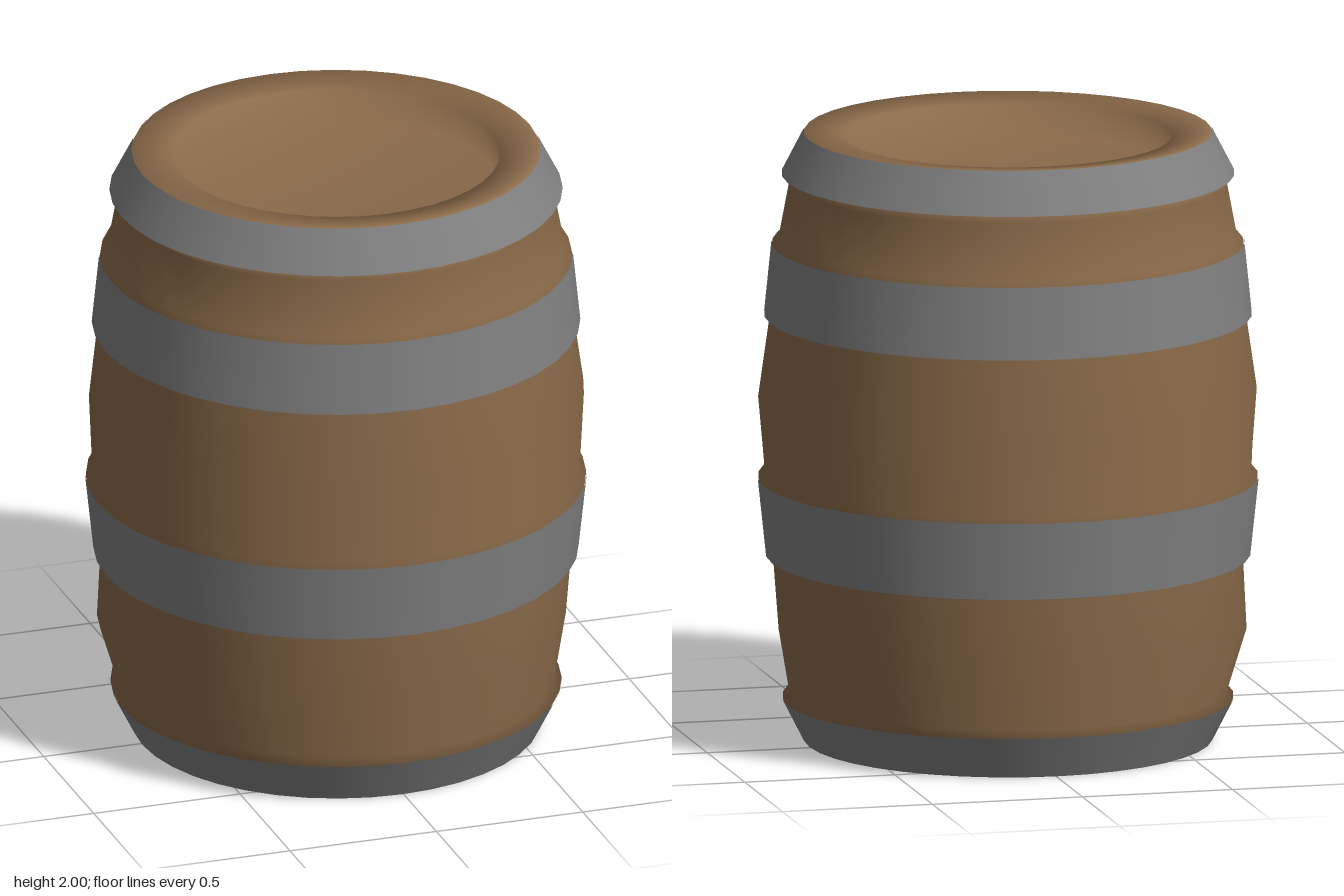
import * as THREE from 'three';

const SEGMENTS = 40;
const lathe = (points) =>
  new THREE.LatheGeometry(points.map(([r, y]) => new THREE.Vector2(r, y)), SEGMENTS);

// Belly radii at eight compass points, from +z round through +x
const BELLIES = [
  { y: 0.37, radii: [0.78, 0.74, 0.745, 0.75, 0.765, 0.775, 0.772, 0.77] },
  { y: 1.14, radii: [0.82, 0.777, 0.815, 0.815, 0.832, 0.777, 0.811, 0.78] },
];

export function createModel() {
  const wood = new THREE.MeshStandardMaterial({ color: 0x8b6b4a });
  wood.name = 'wood';
  const iron = new THREE.MeshStandardMaterial({ color: 0x808080 });
  iron.name = 'iron';

  const barrel = new THREE.Group();
  barrel.name = 'barrel';

  const add = (name, geometry, material) => {
    const mesh = new THREE.Mesh(geometry, material);
    mesh.name = name;
    mesh.position.set(-0.005, 0, 0.01);
    barrel.add(mesh);
  };

  // Wooden body: sunken lids at both ends and a lip flaring out to each hoop edge
  const body = lathe([
    [0, 0.12], [0.53, 0.12], [0.53, 0.015], [0.659, 0],
    [0.73, 0.14], [0.71, 0.165], [0.76, 0.37], [0.762, 0.6],
    [0.782, 0.61], [0.809, 0.865], [0.788, 0.88], [0.8, 1.14], [0.772, 1.385],
    [0.787, 1.4], [0.763, 1.635], [0.742, 1.65], [0.707, 1.835],
    [0.73, 1.862], [0.659, 2], [0.53, 1.985], [0.53, 1.88], [0, 1.88],
  ]);

  // Uneven staves: the two belly rings bulge by different amounts around the barrel
  const p = body.attributes.position;
  for (let i = 0; i < p.count; i++) {
    const belly = BELLIES.find((b) => Math.abs(p.getY(i) - b.y) < 0.005);
    if (!belly) continue;
    const angle = Math.atan2(p.getX(i), p.getZ(i));
    const turn = ((angle / (Math.PI / 4)) + 8) % 8;
    const k = Math.floor(turn);
    const blend = THREE.MathUtils.smoothstep(turn - k, 0, 1);
    const r = THREE.MathUtils.lerp(belly.radii[k], belly.radii[(k + 1) % 8], blend);
    p.setX(i, r * Math.sin(angle));
    p.setZ(i, r * Math.cos(angle));
  }
  add('body', body, wood);

  // Iron hoops: bottom radius and height, top radius and height
  const hoops = {
    bottomHoop: [[0.662, 0], [0.733, 0.14]],
    lowerHoop: [[0.785, 0.61], [0.812, 0.865]],
    upperHoop: [[0.79, 1.4], [0.766, 1.635]],
    topHoop: [[0.733, 1.862], [0.662, 2]],
  };
  for (const [name, profile] of Object.entries(hoops)) add(name, lathe(profile), iron);

  return barrel;
}
